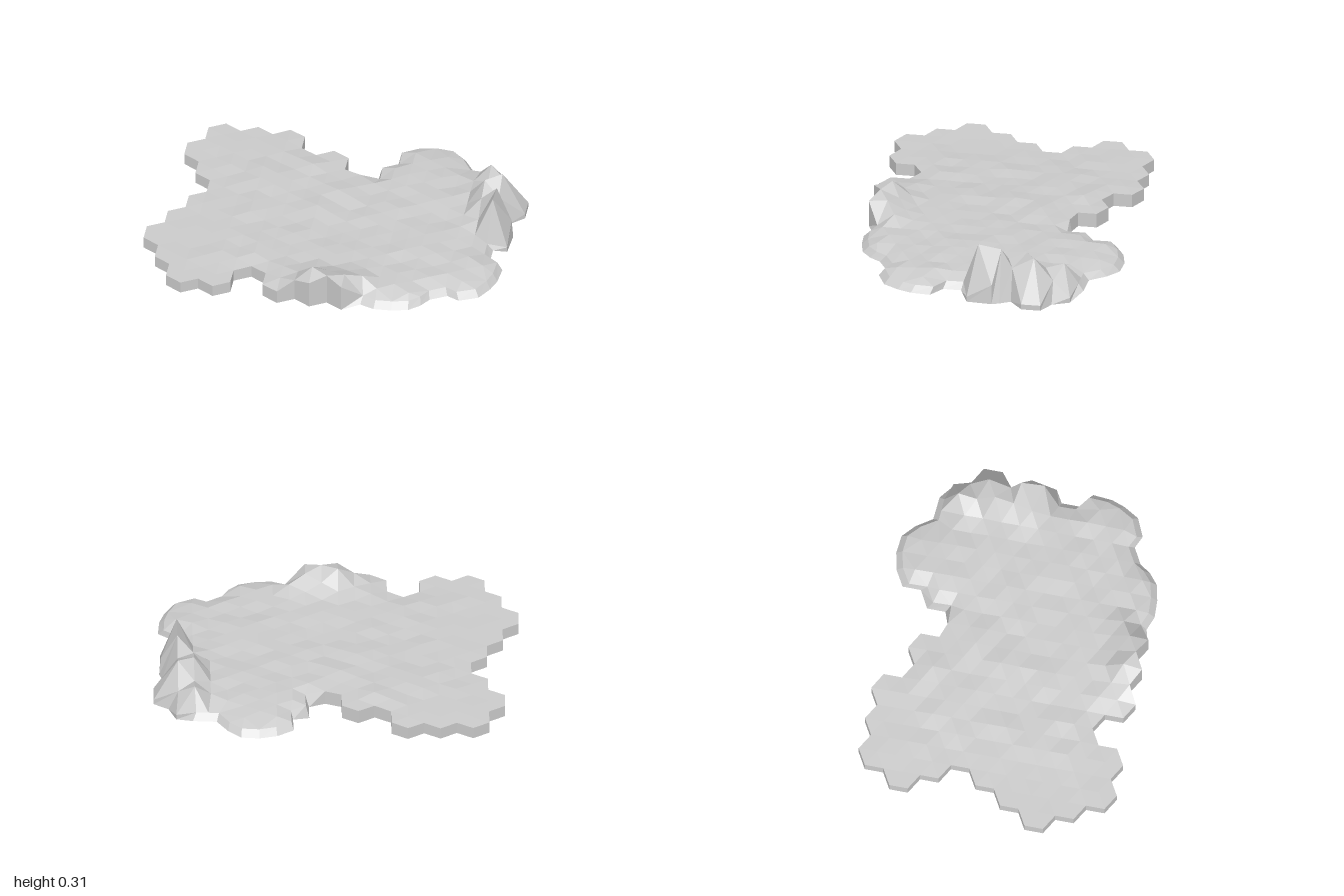
import * as THREE from 'three';

// Hex cells per row, back to front: [first column, last column] runs
const ROWS = [
  [[1, 3], [7, 8]], [[0, 4], [6, 9]], [[1, 10]], [[1, 9]], [[1, 10]],
  [[0, 9]], [[0, 10]], [[0, 9]], [[1, 2], [4, 8]],
];
// Corner offsets of a hex, counter-clockwise seen from above
const CORNERS = [[1, 1], [1, -1], [0, -2], [-1, -1], [-1, 1], [0, 2]];

// Peaks: [x, z, height]
const PEAKS = [
  // right-hand crags
  [0.867, 0.007, 0.31], [0.867, -0.095, 0.29], [0.778, -0.147, 0.19], [0.778, -0.25, 0.235],
  [0.867, -0.3, 0.25], [0.778, -0.35, 0.15], [0.778, -0.453, 0.185], [0.867, -0.198, 0.18],
  [0.867, -0.402, 0.12], [0.956, -0.045, 0.11], [0.956, 0.06, 0.03],
  [0.956, -0.25, 0.03], [0.956, -0.35, 0.03], [0.778, -0.045, 0.12], [0.867, -0.505, 0.03],
  // front mound
  [-0.112, 0.675, 0.13], [-0.023, 0.725, 0.16], [-0.023, 0.621, 0.195], [0.066, 0.675, 0.185],
  [0.155, 0.725, 0.155], [0.155, 0.621, 0.165], [0.066, 0.57, 0.14], [-0.112, 0.57, 0.11],
  [0.244, 0.57, 0.13], [-0.023, 0.52, 0.115], [0.155, 0.52, 0.115],
];
// Rounded right-hand shoreline: [x, z, moved x, moved z]
const SHORE = [
  [0.066, -0.35, 0.066, -0.37],
  [0.422, -0.66, 0.43, -0.73], [0.511, -0.71, 0.53, -0.72], [0.6, -0.556, 0.66, -0.57],
  [0.689, -0.505, 0.72, -0.565], [0.778, -0.556, 0.79, -0.56], [0.867, -0.505, 0.88, -0.5],
  [0.867, -0.402, 0.92, -0.405], [0.956, -0.35, 1, -0.355], [0.956, -0.25, 1, -0.25],
  [0.867, -0.198, 0.92, -0.18], [0.867, -0.095, 0.95, -0.12], [0.956, -0.045, 0.965, -0.08],
  [0.867, 0.11, 0.885, 0.1], [0.867, 0.21, 0.885, 0.2], [0.956, 0.26, 0.965, 0.26],
  [0.867, 0.416, 0.93, 0.44], [0.867, 0.52, 0.88, 0.525], [0.689, 0.52, 0.71, 0.54],
  [0.6, 0.57, 0.62, 0.59], [0.6, 0.675, 0.58, 0.65], [0.511, 0.725, 0.52, 0.7],
  [0.422, 0.675, 0.43, 0.72], [0.244, 0.675, 0.255, 0.695],
];
const LIP = 0.035; // width of the sloping lip along the shore

const smooth = (x, a, b) => THREE.MathUtils.smoothstep(x, a, b);
const near = (table, x, z) => table.find((p) => Math.hypot(p[0] - x, p[1] - z) < 0.025);
const noise = (i, j) => {
  const s = Math.sin(i * 12.99 + j * 78.23) * 43758.55;
  return (s - Math.floor(s)) * 2 - 1;
};

// Surface point of the grid, and on the rim the foot below it
function makePoint(u, v, rim) {
  const x = -0.913 + 0.089 * u;
  const z = -0.607 + 0.0512 * v;
  const peak = near(PEAKS, x, z);
  const shore = rim && near(SHORE, x, z);
  const foot = new THREE.Vector3(x, 0.03 * smooth(x, 0.14, 0.26), z);
  if (shore) foot.set(shore[2], foot.y, shore[3]);
  const top = foot.clone();

  if (peak) {
    // crags and mound stand on the ground, tall points lean in over their foot
    top.y = peak[2];
    if (peak[2] > 0.1) top.x = x;
    foot.y = 0;
  } else if (rim && x > 0.14) {
    // thin shore with a sloping lip
    const inward = new THREE.Vector3(0.45 - top.x, 0, -top.z).setLength(LIP);
    top.add(inward).setY(0.066);
  } else if (rim) {
    top.y = 0.068 + 0.015 * smooth(x, -0.6, 0);
  } else {
    top.y = 0.068 + 0.025 * smooth(x, -0.9, 0) + 0.009 * noise(u, v) * smooth(x, -1, -0.3);
  }
  return { top, foot, peak };
}

function makeMesh(name, points) {
  const geometry = new THREE.BufferGeometry().setFromPoints(points);
  geometry.computeVertexNormals();
  const mesh = new THREE.Mesh(
    geometry,
    new THREE.MeshStandardMaterial({ color: 0xcccccc, flatShading: true, side: THREE.DoubleSide }),
  );
  mesh.name = name;
  return mesh;
}

export function createModel() {
  // Cells on an integer grid
  const cells = [];
  ROWS.forEach((runs, r) => runs.forEach(([first, last]) => {
    for (let c = first; c <= last; c++) cells.push([2 * c + (r % 2), 3 * r]);
  }));

  // A corner shared by fewer than three cells lies on the rim
  const key = (u, v) => `${u},${v}`;
  const uses = new Map();
  const edges = new Set();
  const cornersOf = ([u, v]) => CORNERS.map(([du, dv]) => [u + du, v + dv]);
  for (const cell of cells) {
    const ring = cornersOf(cell);
    ring.forEach((p, i) => {
      uses.set(key(...p), (uses.get(key(...p)) || 0) + 1);
      edges.add(`${key(...p)}>${key(...ring[(i + 1) % 6])}`);
    });
  }
  const points = new Map();
  const corner = (u, v) => {
    const k = key(u, v);
    if (!points.has(k)) points.set(k, makePoint(u, v, uses.get(k) < 3));
    return points.get(k);
  };

  // Open shell: land on top, a skirt around it, nothing underneath
  const land = [], skirt = [];
  for (const cell of cells) {
    const grid = cornersOf(cell);
    const ring = grid.map((p) => corner(...p));
    const mid = makePoint(...cell, false);
    if (!mid.peak) {
      // ease each cell's middle toward its corners
      const mean = ring.reduce((sum, c) => sum + c.top.y, 0) / 6;
      mid.top.y = THREE.MathUtils.lerp(mid.top.y, mean, 0.35);
    }
    ring.forEach((a, i) => {
      const j = (i + 1) % 6;
      const b = ring[j];
      land.push(mid.top, a.top, b.top);
      // skirt only where no neighbouring cell shares the edge
      if (!edges.has(`${key(...grid[j])}>${key(...grid[i])}`)) {
        skirt.push(a.foot, b.foot, b.top, a.foot, b.top, a.top);
      }
    });
  }

  const group = new THREE.Group();
  group.name = 'hexTerrain';
  group.add(makeMesh('landSurface', land), makeMesh('edgeSkirt', skirt));
  return group;
}
